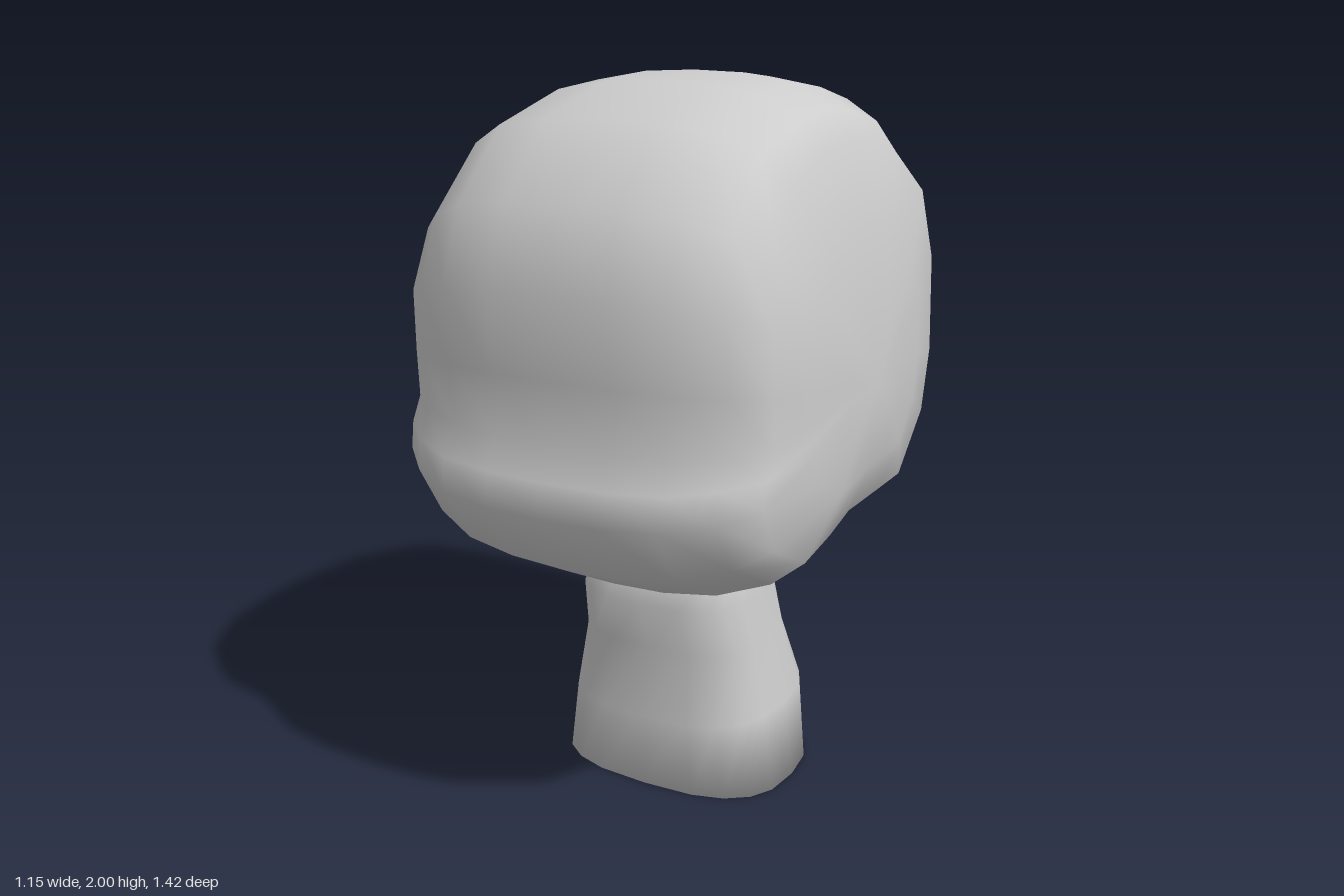
import * as THREE from 'three';

// Smooth closed skin over equal-length rings, with a centre point closing each end.
// Rings run counter-clockwise about the direction in which they are stacked.
function loft(rings, startCentre, endCentre) {
  const n = rings[0].length;
  const points = [...rings.flat(), startCentre, endCentre];
  const start = rings.length * n;
  const end = start + 1;
  const index = [];
  for (let j = 0; j < n; j++) {
    const k = (j + 1) % n;
    for (let i = 0; i < rings.length - 1; i++) {
      const a = i * n + j, b = i * n + k;
      index.push(a, b, b + n, a, b + n, a + n);
    }
    const last = (rings.length - 1) * n;
    index.push(start, k, j, end, last + j, last + k);
  }
  const geometry = new THREE.BufferGeometry();
  geometry.setAttribute('position', new THREE.Float32BufferAttribute(points.flat(), 3));
  geometry.setIndex(index);
  geometry.computeVertexNormals();
  return geometry;
}

// Head: a side profile shrinking towards both cheeks
function headGeometry() {
  const cy = 1.25, cz = -0.02;
  // [z, y] from the crown, down the face, under the jaw and up the back
  const profile = [
    [-0.06, 2.0], [0.15, 1.98], [0.42, 1.9], [0.6, 1.71], [0.67, 1.51], [0.66, 1.3],
    [0.655, 1.14], [0.7, 1.06], [0.715, 0.97], [0.62, 0.81], [0.38, 0.68], [0.18, 0.682],
    [0, 0.688], [-0.25, 0.7], [-0.46, 0.74], [-0.66, 0.95], [-0.71, 1.18],
    [-0.71, 1.53], [-0.65, 1.78], [-0.41, 1.945], [-0.22, 1.985],
  ];
  // [scale, x at mid height, x at the top, x at the bottom, jaw pinch]
  const steps = [
    [0.25, 0.566, 0.553, 0.568, 0], [0.5, 0.555, 0.525, 0.56, 0.02], [0.78, 0.525, 0.465, 0.515, 0.06],
    [0.88, 0.44, 0.4, 0.44, 0.04], [0.96, 0.32, 0.3, 0.3, 0], [0.993, 0.17, 0.15, 0.15, 0],
  ];
  const ring = ([s, mid, top, bottom, pinch], side) => profile.map(([z, y]) => {
    const up = (y - cy) / (y > cy ? 0.75 : 0.57);
    const x = THREE.MathUtils.lerp(mid, up > 0 ? top : bottom, up * up);
    const lift = up < 0 ? pinch * up * up * Math.exp(-(((z + 0.08) / 0.28) ** 2)) : 0;
    return [side * x, cy + (y - cy) * s + lift, cz + (z - cz) * s];
  });
  const rings = [
    ...steps.map((step) => ring(step, -1)),
    ring([1, 0, 0, 0, 0], 1),
    ...[...steps].reverse().map((step) => ring(step, 1)),
  ];
  return loft(rings, [-0.575, cy - 0.04, cz], [0.575, cy - 0.04, cz]);
}

// Neck: rounded-square sections flaring down to a flat base
function neckGeometry() {
  // [y, half width, front z, back z]
  const levels = [
    [0, 0.355, 0.235, -0.28], [0.22, 0.32, 0.245, -0.325], [0.42, 0.287, 0.205, -0.23],
    [0.57, 0.265, 0.25, -0.205], [0.65, 0.252, 0.18, -0.19], [0.7, 0.23, 0.13, -0.16],
    [0.78, 0.2, 0.1, -0.13],
  ];
  const sides = 20;
  const round = (v) => Math.sign(v) * Math.abs(v) ** 0.72;
  const rings = levels.map(([y, w, front, back]) => Array.from({ length: sides }, (_, j) => {
    const t = (j / sides) * Math.PI * 2;
    const mid = (front + back) / 2, depth = (front - back) / 2;
    return [w * round(Math.sin(t)), y, mid + depth * round(Math.cos(t))];
  }));
  return loft(rings, [0, 0, -0.02], [0, 0.8, -0.02]);
}

export function createModel() {
  const model = new THREE.Group();
  model.name = 'headBust';
  const grey = new THREE.MeshStandardMaterial({ color: 0xcccccc });
  grey.name = 'plain grey';

  const head = new THREE.Mesh(headGeometry(), grey);
  head.name = 'head';
  const neck = new THREE.Mesh(neckGeometry(), grey);
  neck.name = 'neck';
  model.add(head, neck);
  return model;
}
